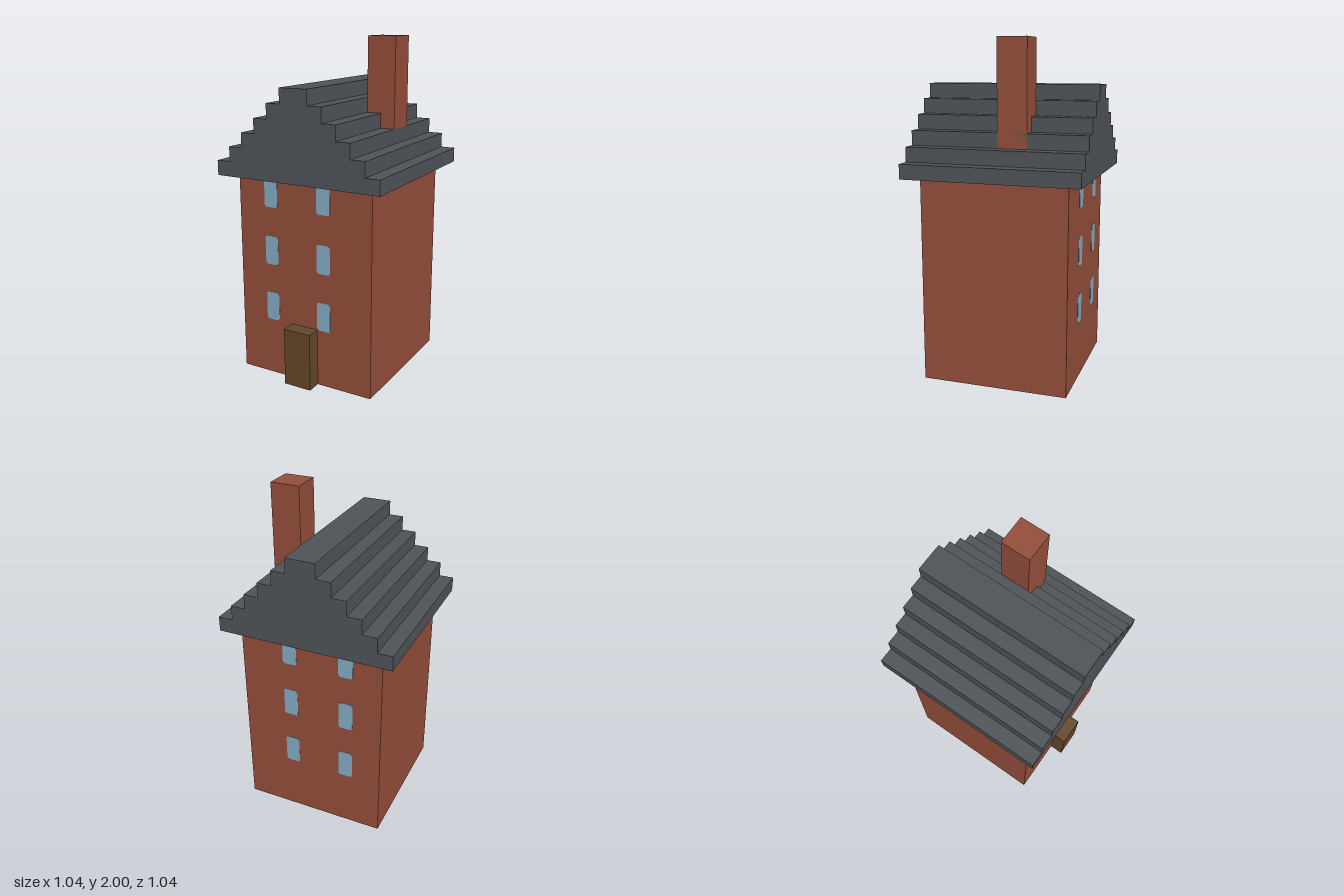
import * as THREE from 'three';

const U = 2 / 23; // one block

const paint = (name, color) => {
  const m = new THREE.MeshStandardMaterial({ color });
  m.name = name;
  return m;
};

export function createModel() {
  const brick = paint('brick red', 0x934d3a);
  const slate = paint('slate grey', 0x4e5257);
  const wood = paint('door brown', 0x624629);
  const glass = paint('window blue', 0x82aac4);

  const house = new THREE.Group();
  house.name = 'house';
  const add = (name, geometry, material, parent = house) => {
    const mesh = new THREE.Mesh(geometry, material);
    mesh.name = name;
    parent.add(mesh);
    return mesh;
  };

  // Box given by its limits, in blocks
  const block = (name, material, [x0, x1], [y0, y1], [z0, z1]) => {
    const g = new THREE.BoxGeometry((x1 - x0) * U, (y1 - y0) * U, (z1 - z0) * U);
    add(name, g, material).position.set((x0 + x1) * U / 2, (y0 + y1) * U / 2, (z0 + z1) * U / 2);
  };

  block('walls', brick, [-5, 5], [0, 14], [-5, 5]);
  block('door', wood, [-1, 1], [0, 4], [5, 6]);
  block('chimney', brick, [2, 4], [15, 23], [-2, 0]);

  // Stepped gable outline, up the right side and down the left
  const right = [];
  for (let i = 0; i < 6; i++) {
    right.push([6 - i, 14 + i], [6 - i, 15 + i]);
  }
  const left = right.map(([x, y]) => [-x, y]).reverse();
  const gable = new THREE.Shape([...right, ...left].map(([x, y]) => new THREE.Vector2(x * U, y * U)));
  const roof = new THREE.ExtrudeGeometry(gable, { depth: 12 * U, bevelEnabled: false });
  roof.translate(0, 0, -6 * U);
  add('roof', roof, slate);

  // Window pane with small clipped corners
  const w = U / 2, h = U, c = 0.011;
  const pane = new THREE.ExtrudeGeometry(new THREE.Shape([
    [-w + c, -h], [w - c, -h], [w, -h + c], [w, h - c],
    [w - c, h], [-w + c, h], [-w, h - c], [-w, -h + c],
  ].map(([x, y]) => new THREE.Vector2(x, y))), { depth: 0.003, bevelEnabled: false });
  pane.translate(0, 0, -0.0015);

  // Three rows of two windows on the front and back walls
  const windows = new THREE.Group();
  windows.name = 'windows';
  house.add(windows);
  for (const side of [1, -1]) {
    for (const x of [-2.5, 1.5]) {
      for (const y of [5, 9, 13]) {
        add(side > 0 ? 'frontWindow' : 'backWindow', pane, glass, windows)
          .position.set(x * U, y * U, side * 5 * U);
      }
    }
  }
  return house;
}
